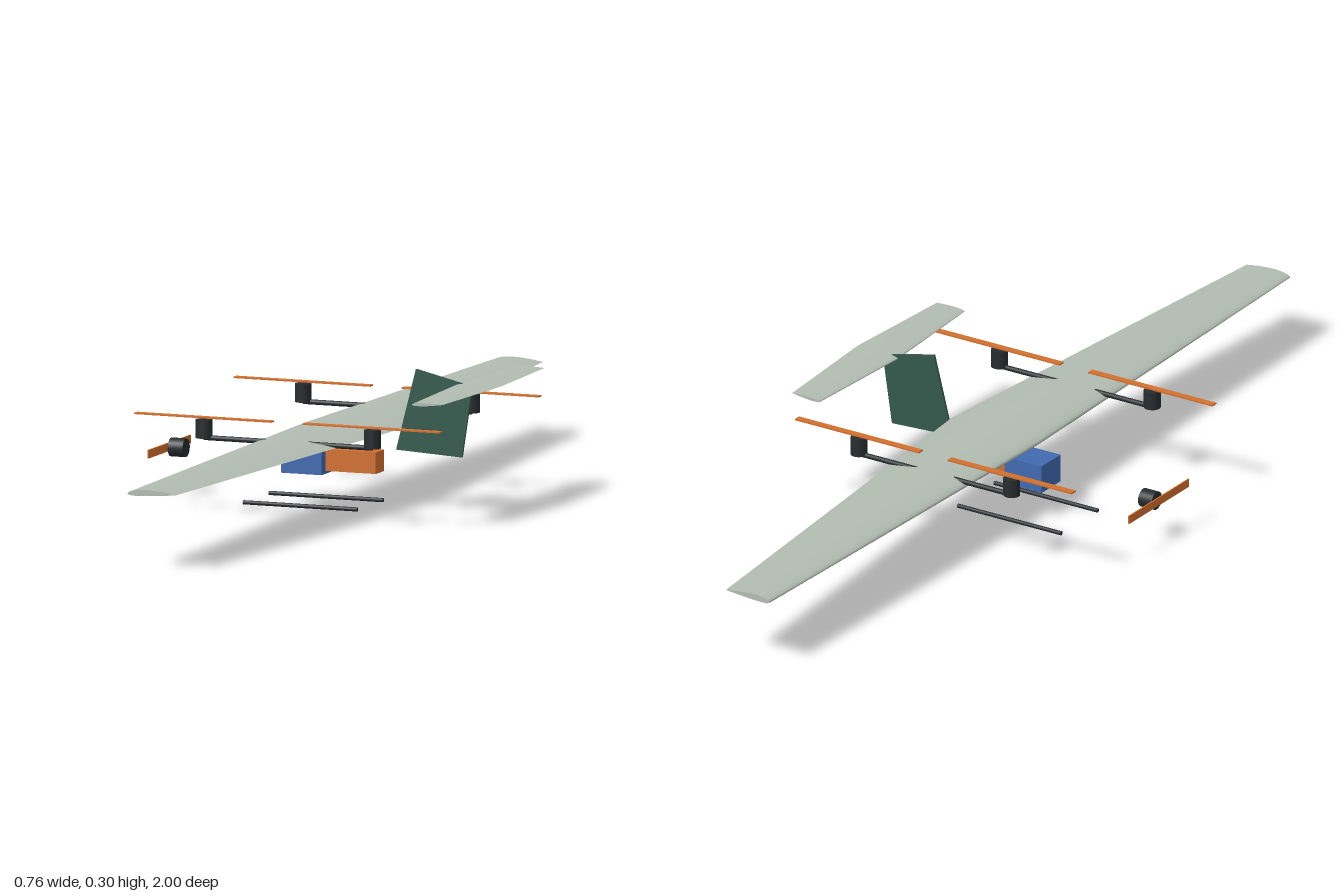
import * as THREE from 'three';

const mat = (color) => new THREE.MeshStandardMaterial({ color });

export function createModel() {
  const model = new THREE.Group();
  const skin = mat(0xb2bcb1), green = mat(0x34594c), dark = mat(0x262c2e);
  const orange = mat(0xd2702f), blue = mat(0x4169b0);

  const add = (name, geometry, material, x = 0, y = 0, z = 0) => {
    const mesh = new THREE.Mesh(geometry, material);
    mesh.name = name;
    mesh.position.set(x, y, z);
    model.add(mesh);
    return mesh;
  };
  const box = (name, material, size, pos) => add(name, new THREE.BoxGeometry(...size), material, ...pos);
  // Cylinder lying along x
  const rodX = (name, r, length, pos, sides = 16) =>
    add(name, new THREE.CylinderGeometry(r, r, length, sides).rotateZ(Math.PI / 2), dark, ...pos);

  // Aerofoil ring: trailing edge, over the top to the nose, back underneath
  function aerofoil(thick, camber, n = 14) {
    const pts = [];
    for (let i = -n; i <= n; i++) {
      const u = (1 - Math.cos((Math.PI * i) / n)) / 2;
      const t = 5 * thick * (0.2969 * Math.sqrt(u) - 0.126 * u - 0.3516 * u ** 2 + 0.2843 * u ** 3 - 0.1036 * u ** 4);
      const p = 0.4;
      const c = u < p ? (camber / p ** 2) * (2 * p * u - u * u)
        : (camber / (1 - p) ** 2) * (1 - 2 * p + 2 * p * u - u * u);
      pts.push([u, c + (i <= 0 ? t : -t)]);
    }
    return pts;
  }

  // Tapered surface lofted through stations { z, lead, trail, y, rise }
  function loft(ring, stations) {
    const pos = [], index = [], n = ring.length;
    const pushRing = (s) => {
      const start = pos.length / 3, chord = s.trail - s.lead;
      for (const [u, v] of ring) pos.push(s.lead + u * chord, s.y + v * chord + u * s.rise, s.z);
      return start;
    };
    stations.forEach(pushRing);
    for (let i = 0; i < stations.length - 1; i++) {
      for (let j = 0; j < n - 1; j++) {
        const a = i * n + j, d = a + n;
        index.push(a, a + 1, d + 1, a, d + 1, d);
      }
    }
    // End caps
    const back = pushRing(stations[0]), front = pushRing(stations[stations.length - 1]);
    for (let j = 1; j < n - 1; j++) {
      index.push(back, back + j + 1, back + j, front, front + j, front + j + 1);
    }
    const g = new THREE.BufferGeometry();
    g.setAttribute('position', new THREE.Float32BufferAttribute(pos, 3));
    g.setIndex(index);
    g.computeVertexNormals();
    return g;
  }

  // Main wing and tailplane
  add('wing', loft(aerofoil(0.12, 0.02), [
    { z: -1, lead: -0.055, trail: 0.055, y: 0.163, rise: 0.002 },
    { z: 0, lead: -0.08, trail: 0.14, y: 0.162, rise: 0.005 },
    { z: 1, lead: -0.055, trail: 0.055, y: 0.163, rise: 0.002 },
  ]), skin);
  add('tailplane', loft(aerofoil(0.1, 0), [
    { z: -0.278, lead: 0.291, trail: 0.361, y: 0.27, rise: 0.003 },
    { z: 0, lead: 0.275, trail: 0.378, y: 0.27, rise: 0.004 },
    { z: 0.278, lead: 0.291, trail: 0.361, y: 0.27, rise: 0.003 },
  ]), skin);

  // Swept fin
  const fin = new THREE.Shape([[0.14, 0.126], [0.29, 0.118], [0.313, 0.27], [0.185, 0.3]]
    .map(([x, y]) => new THREE.Vector2(x, y)));
  add('fin', new THREE.ExtrudeGeometry(fin, { depth: 0.006, bevelEnabled: false }), green, 0, 0, -0.003);

  // Lift booms with motors and rotors, and landing skids
  for (const side of [-1, 1]) {
    const z = side * 0.27;
    rodX('boom', 0.0055, 0.384, [0.006, 0.1705, z]);
    for (const x of [-0.186, 0.198]) {
      add('liftMotor', new THREE.CylinderGeometry(0.018, 0.018, 0.039, 24), dark, x, 0.1895, z);
      box('liftRotor', orange, [0.312, 0.003, 0.016], [x, 0.2135, z]);
    }
    rodX('skid', 0.0045, 0.26, [-0.05, 0.0045, side * 0.07]);
  }

  // Nose motor and propeller
  rodX('noseMotor', 0.02, 0.034, [-0.357, 0.101, 0], 24);
  box('nosePropeller', orange, [0.003, 0.018, 0.23], [-0.379, 0.101, 0]);

  // Battery and payload
  box('battery', blue, [0.092, 0.061, 0.074], [-0.062, 0.0975, 0]);
  box('payload', orange, [0.114, 0.046, 0.046], [0.045, 0.0975, 0]);

  return model;
}
